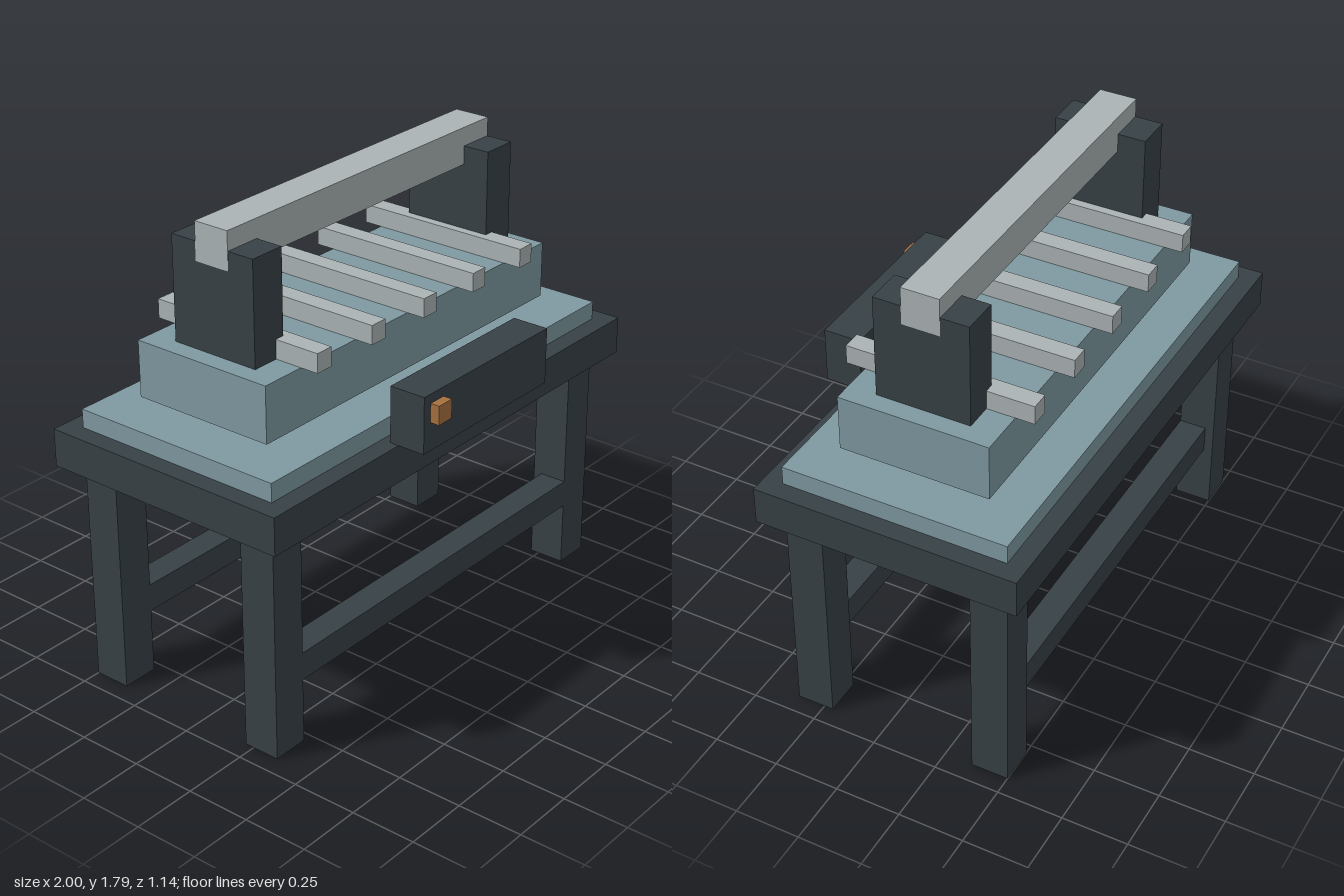
import * as THREE from 'three';

const DARK = 0x374146, TEAL = 0x7f9aa1, LIGHT = 0xabb3b4, COPPER = 0xa6703f;

export function createModel() {
  const model = new THREE.Group();
  model.name = 'pressTable';
  const materials = {};

  // Box given by its extents along each axis
  function box(name, color, [x0, x1], [y0, y1], [z0, z1]) {
    materials[color] ??= new THREE.MeshStandardMaterial({ color });
    const mesh = new THREE.Mesh(new THREE.BoxGeometry(x1 - x0, y1 - y0, z1 - z0), materials[color]);
    mesh.name = name;
    mesh.position.set((x0 + x1) / 2, (y0 + y1) / 2, (z0 + z1) / 2);
    model.add(mesh);
    return mesh;
  }

  // Table: top slab, legs and long stretchers
  box('tableTop', DARK, [-1, 1], [0.857, 1], [-0.571, 0.429]);
  for (const [row, z] of [['front', 0.286], ['back', -0.429]]) {
    for (const [side, x] of [['Left', 0.857], ['Right', -0.857]]) {
      box(`${row}${side}Leg`, DARK, [x - 0.071, x + 0.071], [0, 0.857], [z - 0.071, z + 0.071]);
    }
    box(`${row}Stretcher`, DARK, [-0.786, 0.786], [0.25, 0.357], [z - 0.036, z + 0.071]);
  }

  // Base plate and the raised bed above it
  box('basePlate', TEAL, [-0.929, 0.929], [1, 1.071], [-0.5, 0.357]);
  box('bed', TEAL, [-0.786, 0.786], [1.107, 1.321], [-0.357, 0.214]);

  // Cross bars lying on the bed
  for (let i = -2; i <= 2; i++) {
    const x = i * 0.286;
    box(`crossBar${i + 3}`, LIGHT, [x - 0.036, x + 0.036], [1.321, 1.393], [-0.429, 0.286]);
  }

  // Gantry: two posts carrying a beam
  box('leftPost', DARK, [0.571, 0.714], [1.321, 1.714], [-0.25, 0.107]);
  box('rightPost', DARK, [-0.714, -0.571], [1.321, 1.714], [-0.25, 0.107]);
  box('gantryBeam', LIGHT, [-0.715, 0.715], [1.643, 1.786], [-0.143, 0]);

  // Control box with its button
  box('controlBox', DARK, [-0.357, 0.357], [1, 1.214], [0.393, 0.536]);
  box('controlButton', COPPER, [-0.321, -0.25], [1.107, 1.179], [0.5, 0.571]);

  return model;
}
